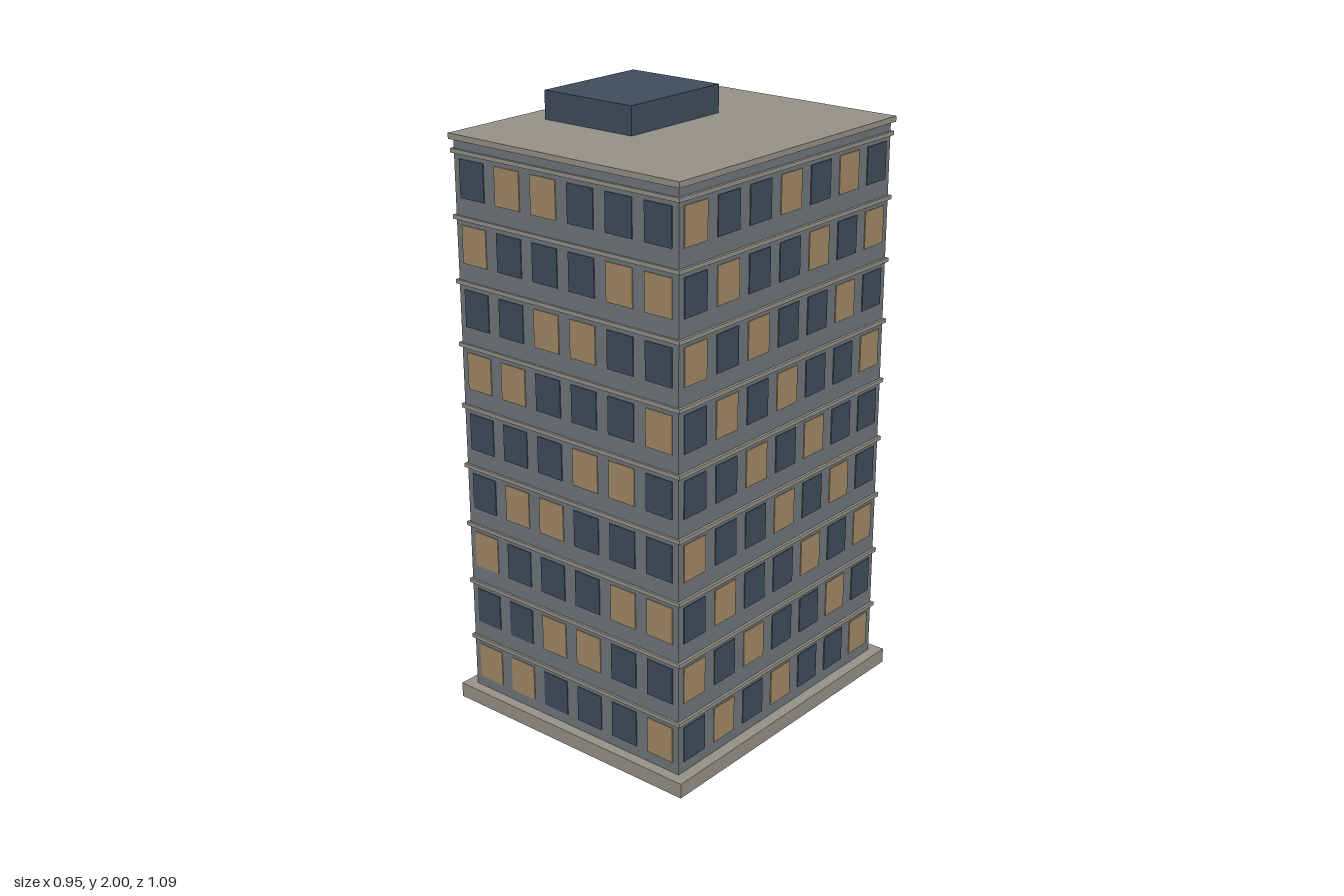
import * as THREE from 'three';

const mat = (name, color) => {
  const m = new THREE.MeshStandardMaterial({ color });
  m.name = name;
  return m;
};

export function createModel() {
  const wall = mat('wall grey', 0x70777c);
  const trim = mat('stone trim', 0x959289);
  const glass = mat('dark glass', 0x3f4d5c);
  const lit = mat('lit glass', 0xa48c68);

  const tower = new THREE.Group();
  tower.name = 'tower';

  // Box given by its size, bottom height and centre
  const box = (parent, name, material, w, h, d, y0, x = 0, z = 0) => {
    const mesh = new THREE.Mesh(new THREE.BoxGeometry(w, h, d), material);
    mesh.name = name;
    mesh.position.set(x, y0 + h / 2, z);
    parent.add(mesh);
    return mesh;
  };

  const W = 0.87, D = 1.02, FLOORS = 9, PITCH = 0.2037;

  // Main masses
  box(tower, 'plinth', trim, 0.946, 0.05, 1.09, 0);
  box(tower, 'body', wall, W, 1.845, D, 0.05);
  box(tower, 'roofSlab', trim, 0.894, 0.018, 1.042, 1.892);
  box(tower, 'roofHousing', glass, 0.35, 0.09, 0.41, 1.91, -0.175, 0);

  // Floors: a ledge above each row of windows on all four sides
  const winW = 0.1, winH = 0.12, plate = 0.006;
  const frontCols = 6, sideCols = 7;
  for (let f = 0; f < FLOORS; f++) {
    const floor = new THREE.Group();
    floor.name = `floor${f + 1}`;
    tower.add(floor);
    box(floor, 'ledge', trim, W + 0.018, 0.013, D + 0.014, 0.221 + f * PITCH);

    const y = 0.086 + f * PITCH;
    for (let c = 0; c < frontCols; c++) {
      const x = (c - (frontCols - 1) / 2) * (W / frontCols);
      const m = (c + 3 * f) % 5 < 2 ? lit : glass;
      for (const s of [1, -1]) {
        box(floor, s > 0 ? 'frontWindow' : 'backWindow', m, winW, winH, plate, y, x, s * D / 2);
      }
    }
    for (let c = 0; c < sideCols; c++) {
      const z = ((sideCols - 1) / 2 - c) * (D / sideCols);
      const m = [1, 3].includes((c + f) % 5) ? lit : glass;
      for (const s of [1, -1]) {
        box(floor, s > 0 ? 'leftWindow' : 'rightWindow', m, plate, winH, winW, y, s * W / 2, z);
      }
    }
  }
  return tower;
}
